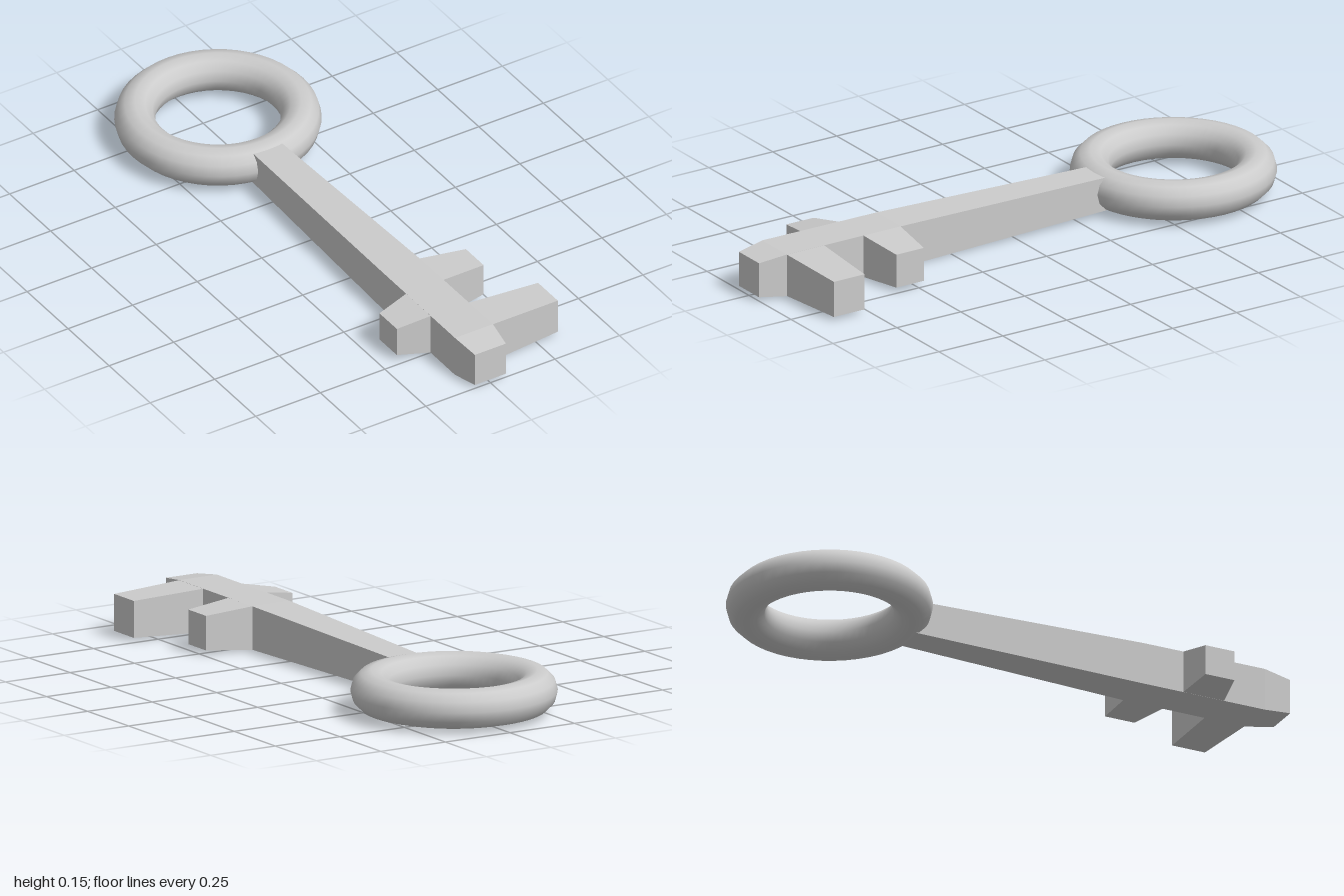
import * as THREE from 'three';

const MID = 0.0735; // height of the key's middle plane
const flat = new THREE.MeshStandardMaterial({ color: 0xcccccc, flatShading: true });
const smooth = new THREE.MeshStandardMaterial({ color: 0xcccccc });

// Rectangular bar along +z through stations of [z, width, height]
function bar(name, stations) {
  const n = stations.length - 1;
  const geo = new THREE.BoxGeometry(1, 1, 1, 1, 1, n);
  const p = geo.attributes.position;
  for (let i = 0; i < p.count; i++) {
    const [z, w, h] = stations[Math.round((p.getZ(i) + 0.5) * n)];
    p.setXYZ(i, p.getX(i) * w, p.getY(i) * h, z);
  }
  geo.computeVertexNormals();
  const mesh = new THREE.Mesh(geo, flat);
  mesh.name = name;
  mesh.position.y = MID;
  return mesh;
}

export function createModel() {
  const key = new THREE.Group();
  key.name = 'key';

  // Ring handle lying flat
  const ring = new THREE.Mesh(new THREE.TorusGeometry(0.272, 0.0675, 12, 48), smooth);
  ring.name = 'ringHandle';
  ring.rotation.x = Math.PI / 2;
  ring.position.set(0, 0.077, -0.66);
  key.add(ring);

  // Tapered shaft with a bevelled tip
  key.add(bar('shaft', [
    [-0.39, 0.11, 0.115],
    [0.455, 0.145, 0.146],
    [0.9, 0.147, 0.147],
    [1, 0.12, 0.12],
  ]));

  // Tapered teeth: side, centre z, outer x, base width, tip width, tip height
  const teeth = [
    ['leftInnerTooth', 1, 0.5275, 0.24, 0.145, 0.108, 0.116],
    ['leftOuterTooth', 1, 0.827, 0.333, 0.146, 0.12, 0.124],
    ['rightTooth', -1, 0.676, 0.19, 0.15, 0.106, 0.104],
  ];
  for (const [name, side, z, reach, base, tip, height] of teeth) {
    const tooth = bar(name, [[0.0725, base, 0.146], [reach, tip, height]]);
    tooth.rotation.y = side * Math.PI / 2;
    tooth.position.z = z;
    key.add(tooth);
  }
  return key;
}
